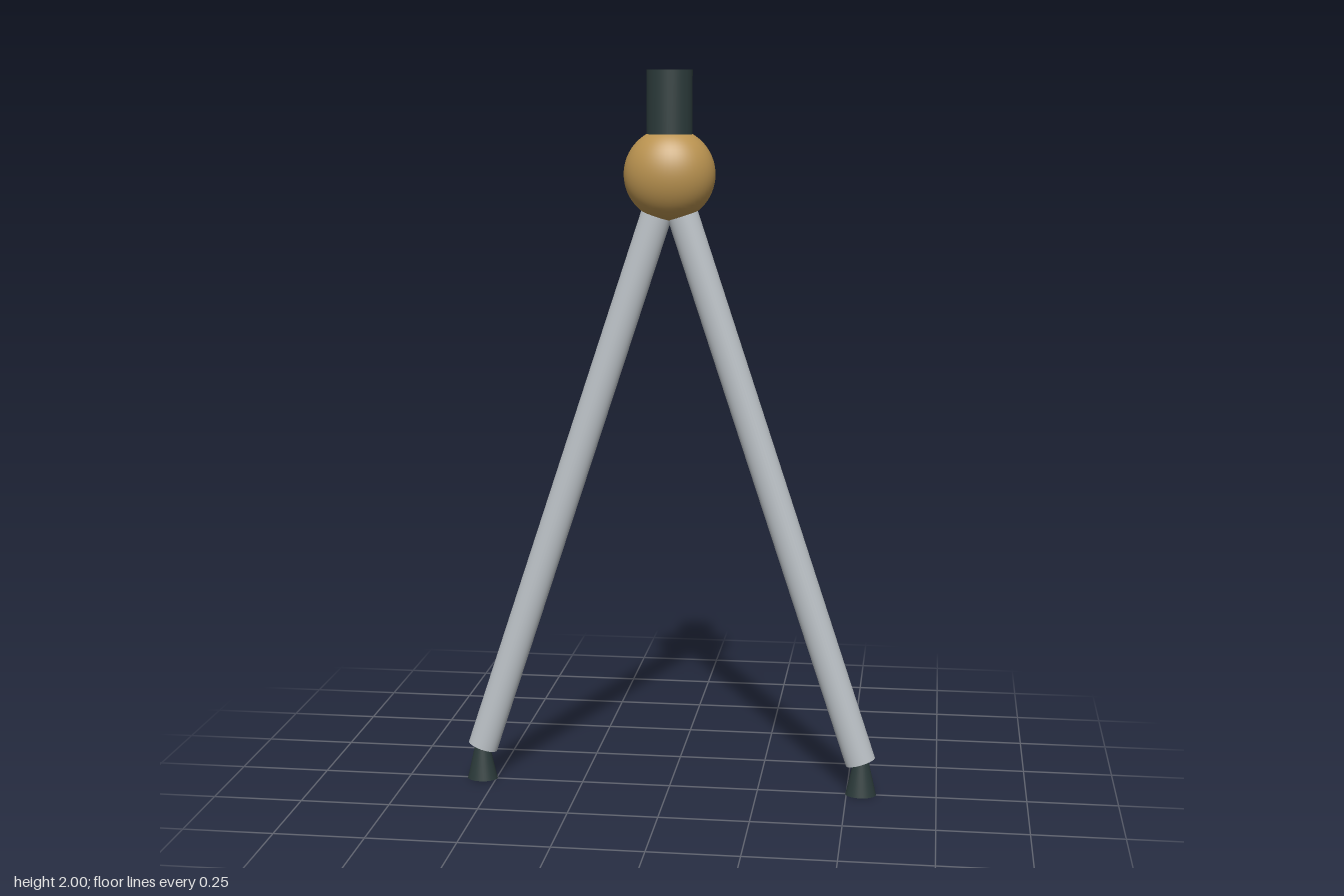
import * as THREE from 'three';

export function createModel() {
  const model = new THREE.Group();
  model.name = 'twoLeggedStand';

  const material = (name, color) => {
    const m = new THREE.MeshStandardMaterial({ color });
    m.name = name;
    return m;
  };
  const brass = material('brass', 0xba9350);
  const metal = material('lightMetal', 0xbcc2c7);
  const rubber = material('darkRubber', 0x2b3a3a);

  const add = (name, geometry, mat, x, y, tilt = 0) => {
    const mesh = new THREE.Mesh(geometry, mat);
    mesh.name = name;
    mesh.position.set(x, y, 0);
    mesh.rotation.z = tilt;
    model.add(mesh);
  };

  // Hinge ball and the handle rising from it
  const hingeY = 1.723;
  add('hinge', new THREE.SphereGeometry(0.124, 48, 32), brass, 0, hingeY);
  add('handle', new THREE.CylinderGeometry(0.062, 0.062, 0.2, 40), rubber, 0, 1.9);

  // Legs run from the hinge centre to the feet
  const footX = 0.538;
  const legEndY = 0.095;
  const drop = hingeY - legEndY;
  const legGeometry = new THREE.CylinderGeometry(0.0425, 0.0425, Math.hypot(footX, drop), 32);
  const footGeometry = new THREE.CylinderGeometry(0.018, 0.043, 0.11, 32);
  for (const [side, s] of [['left', 1], ['right', -1]]) {
    add(side + 'Leg', legGeometry, metal, s * footX / 2, (hingeY + legEndY) / 2, s * Math.atan2(footX, drop));
    add(side + 'Foot', footGeometry, rubber, s * 0.54, 0.055);
  }

  // Every section is slightly flattened front to back
  model.scale.z = 0.79;
  return model;
}
